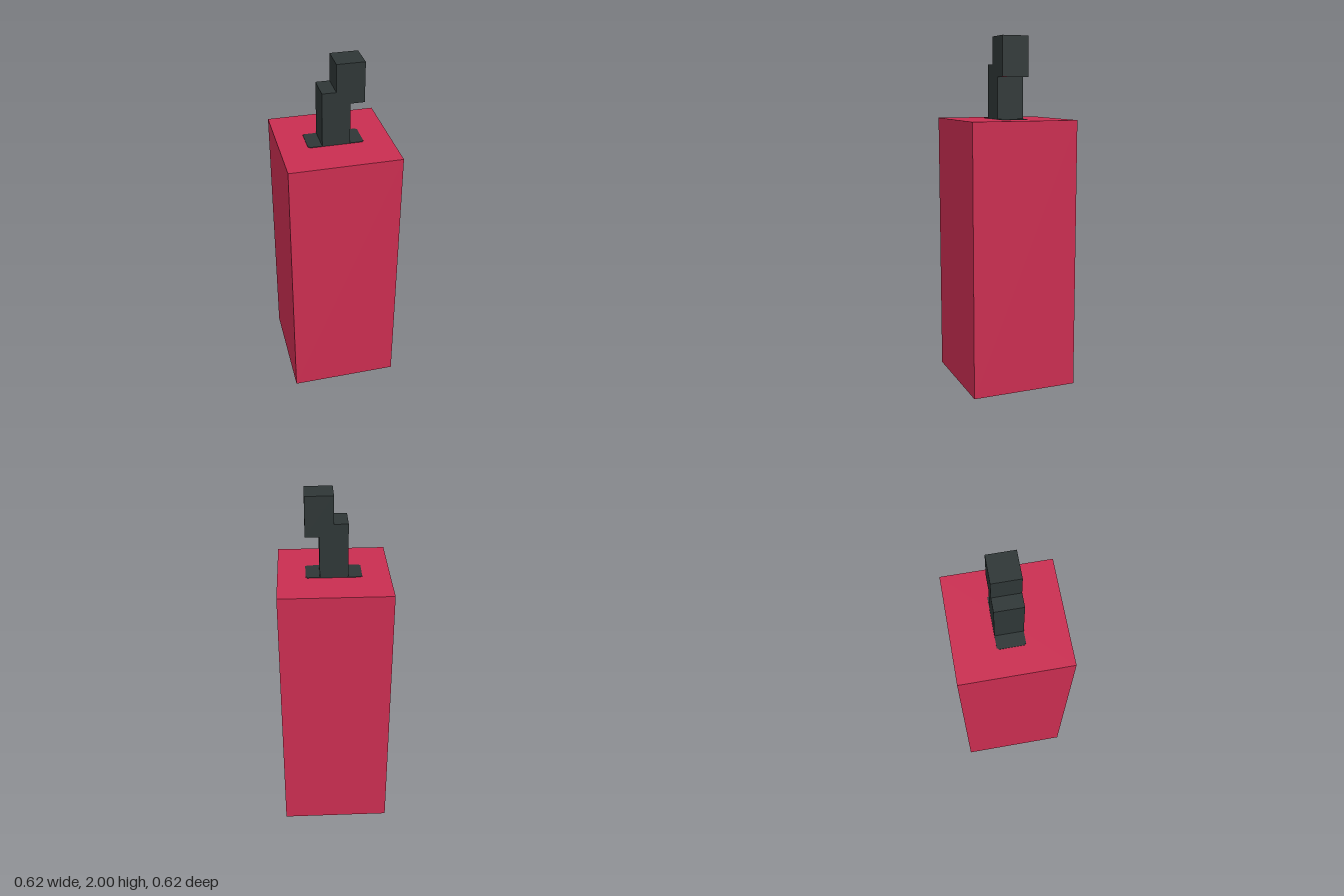
import * as THREE from 'three';

export function createModel() {
  const model = new THREE.Group();
  model.name = 'candle';

  const wax = new THREE.MeshStandardMaterial({ color: 0xc92d50 });
  wax.name = 'red wax';
  const char = new THREE.MeshStandardMaterial({ color: 0x2e3636 });
  char.name = 'charred black';

  const U = 0.077; // half the wick's width
  const TOP = 1.538; // top of the wax

  // Box given by its extents on x and y and its half depth on z
  function block(name, x0, x1, y0, y1, halfZ, material) {
    const geometry = new THREE.BoxGeometry(x1 - x0, y1 - y0, 2 * halfZ);
    const mesh = new THREE.Mesh(geometry, material);
    mesh.name = name;
    mesh.position.set((x0 + x1) / 2, (y0 + y1) / 2, 0);
    model.add(mesh);
  }

  // Square wax pillar
  block('waxBody', -4 * U, 4 * U, 0, TOP, 4 * U, wax);

  // Wick: upright stem and an offset tip whose underside is wax red
  block('wickStem', -U, U, TOP, 1.846, U, char);
  block('wickTip', 0, 2 * U, 1.775, 2, U, [char, char, char, wax, char, char]);

  // Scorch mark around the wick, a thin plate with notched corners
  const notch = 0.007;
  const ex = 2 * U, ez = U;
  const outline = [];
  for (const [sx, sz] of [[1, 1], [-1, 1], [-1, -1], [1, -1]]) {
    const corner = [
      [sx * ex, sz * (ez - notch)],
      [sx * (ex - notch), sz * (ez - notch)],
      [sx * (ex - notch), sz * ez],
    ];
    if (sx * sz < 0) corner.reverse();
    outline.push(...corner.map(([x, z]) => new THREE.Vector2(x, z)));
  }
  const plate = new THREE.ExtrudeGeometry(new THREE.Shape(outline), { depth: 0.003, bevelEnabled: false });
  plate.rotateX(-Math.PI / 2);
  const scorch = new THREE.Mesh(plate, char);
  scorch.name = 'scorchMark';
  scorch.position.y = TOP;
  model.add(scorch);

  return model;
}
